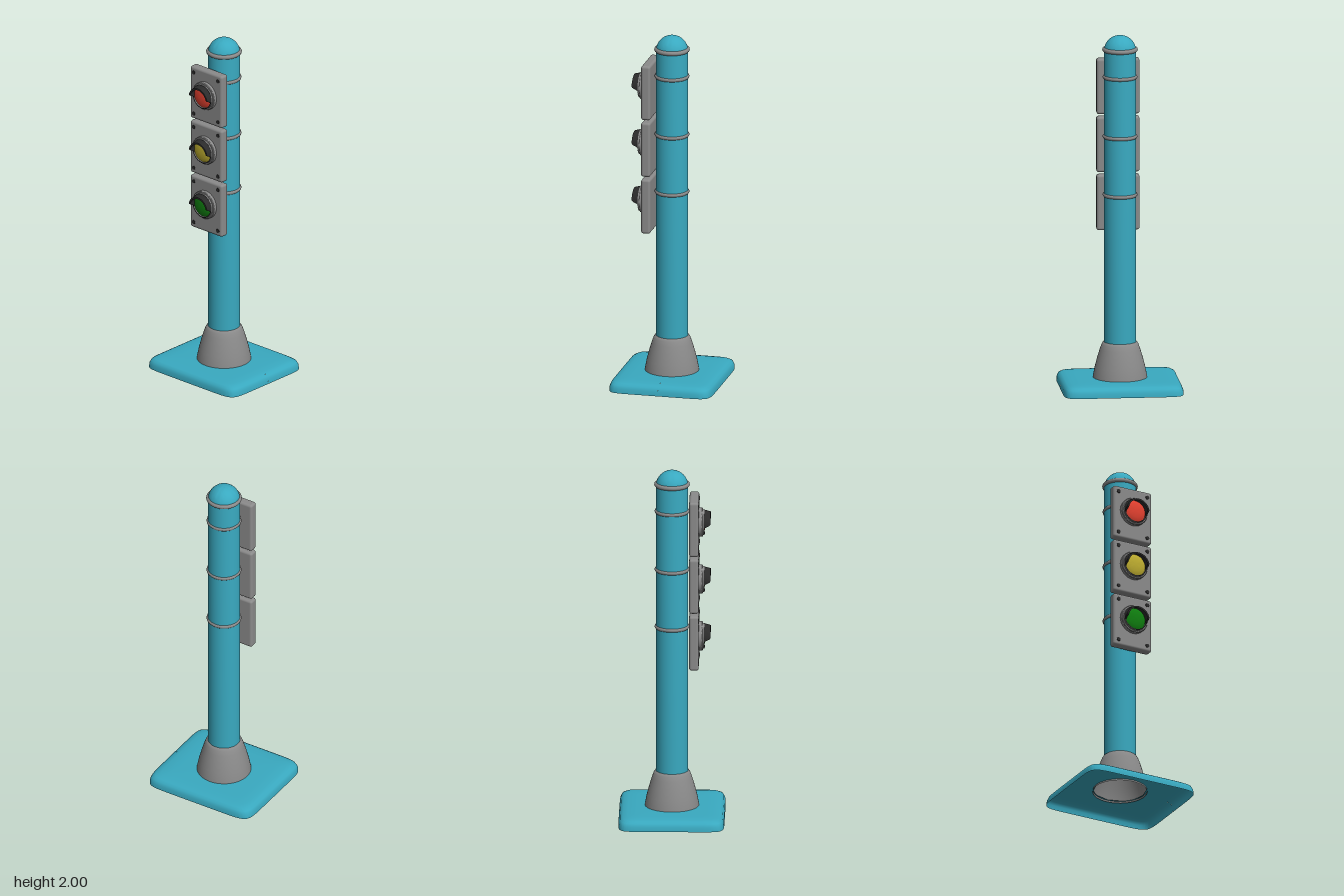
import * as THREE from 'three';
import { mergeVertices, toCreasedNormals } from 'three/addons/utils/BufferGeometryUtils.js';
import { RoundedBoxGeometry } from 'three/addons/geometries/RoundedBoxGeometry.js';

const mat = (name, color, side = THREE.FrontSide) => {
  const m = new THREE.MeshStandardMaterial({ color, side });
  m.name = name;
  return m;
};

// Surface through rows of points; faces look along (row step) x (column step)
function loft(rows, crease) {
  const n = rows[0].length, index = [];
  for (let r = 0; r < rows.length - 1; r++) {
    for (let c = 0; c < n - 1; c++) {
      const a = r * n + c, b = a + n;
      index.push(a, b, b + 1, a, b + 1, a + 1);
    }
  }
  const g = new THREE.BufferGeometry();
  g.setAttribute('position', new THREE.Float32BufferAttribute(rows.flat(2), 3));
  g.setIndex(index);
  return toCreasedNormals(mergeVertices(g), crease);
}

const lathe = (pts, segments = 48) => toCreasedNormals(
  new THREE.LatheGeometry(pts.map(([r, y]) => new THREE.Vector2(r, y)), segments), 0.6);

// Lathe whose axis points forward
const frontLathe = (pts) => lathe(pts).rotateX(Math.PI / 2);

// Hollow base plate: rounded rectangles rising to a round hole
function baseGeometry() {
  const count = 96, rows = [];
  const power = (v) => Math.sign(v) * Math.abs(v) ** 0.2;
  const levels = [[0, 0], [0.002, 0.025], [0.01, 0.043], [0.025, 0.052], [0.05, 0.057], [0.1, 0.06]];
  const outline = (inset) => Array.from({ length: count + 1 }, (_, i) => {
    const t = (i / count) * Math.PI * 2;
    return [(0.335 - inset) * power(Math.cos(t)), (0.295 - inset) * power(Math.sin(t))];
  });
  for (const [inset, y] of levels) rows.push(outline(inset).map(([x, z]) => [x, y, z]));
  rows.push(outline(0).map(([x, z]) => {
    const k = 0.145 / Math.hypot(x, z);
    return [x * k, 0.06, z * k];
  }));
  return loft(rows, 0.9);
}

// Half-round hood, drooping forward, cut back towards its ends
function visorGeometry() {
  const rows = [], steps = 40;
  for (let i = 0; i <= steps; i++) {
    const a = THREE.MathUtils.degToRad(-18 + (216 * i) / steps);
    const c = Math.cos(a), s = Math.sin(a);
    const reach = 0.004 + 0.035 * THREE.MathUtils.smoothstep(s, -0.3, 0.25);
    const drop = -0.25 * reach;
    const ring = [[0.071, 0, 0], [0.07, reach, drop], [0.06, reach, drop], [0.062, 0, 0], [0.071, 0, 0]];
    rows.push(ring.map(([r, z, dy]) => [r * c, r * s + dy, 0.176 + z]));
  }
  const middle = (row) => row.map(() => [0, 1, 2].map((k) => (row[0][k] + row[2][k]) / 2));
  return loft([middle(rows[0]), ...rows, middle(rows[steps])], 0.6);
}

export function createModel() {
  const teal = mat('teal paint', 0x39a9c0, THREE.DoubleSide);
  const grey = mat('grey metal', 0x8a8a8a, THREE.DoubleSide);
  const black = mat('black rubber', 0x2b2b2b, THREE.DoubleSide);
  const lenses = [mat('red lens', 0xf04533), mat('yellow lens', 0xbfae30), mat('green lens', 0x108010)];

  const model = new THREE.Group();
  model.name = 'trafficLight';
  const add = (parent, name, geometry, material, x = 0, y = 0, z = 0) => {
    const mesh = new THREE.Mesh(geometry, material);
    mesh.name = name;
    mesh.position.set(x, y, z);
    parent.add(mesh);
    return mesh;
  };

  // Base, flared foot and domed pole
  add(model, 'basePlate', baseGeometry(), teal);
  add(model, 'poleFoot', lathe([[0.152, 0.05], [0.149, 0.075], [0.14, 0.12], [0.127, 0.17],
    [0.112, 0.22], [0.102, 0.247], [0.095, 0.258], [0.088, 0.262]]), grey);
  const pole = [[0.09, 0.25], [0.09, 1.91]];
  for (let i = 1; i <= 12; i++) {
    const a = (i / 12) * Math.PI / 2;
    pole.push([0.09 * Math.cos(a), 1.91 + 0.09 * Math.sin(a)]);
  }
  add(model, 'pole', lathe(pole), teal);

  // Cap ring and clamp bands
  const band = (name, y, tube) =>
    add(model, name, new THREE.TorusGeometry(0.086, tube, 12, 48).rotateX(Math.PI / 2), grey, 0, y);
  band('capRing', 1.92, 0.013);
  for (const y of [1.765, 1.427, 1.095]) band('clampBand', y, 0.011);

  // Three signal units
  const housing = new RoundedBoxGeometry(0.24, 0.315, 0.053, 4, 0.014);
  const bezel = frontLathe([[0.081, 0.148], [0.081, 0.168], [0.078, 0.172], [0.072, 0.173],
    [0.071, 0.18], [0.066, 0.181], [0.064, 0.17]]);
  const gasket = frontLathe([[0.0705, 0.1815], [0.065, 0.1825]]);
  const lens = frontLathe([[0.066, 0.165], [0.065, 0.174], [0.055, 0.179], [0.04, 0.183],
    [0.02, 0.1855], [0, 0.186]]);
  const visor = visorGeometry();
  const screw = new THREE.CylinderGeometry(0.011, 0.012, 0.008, 16).rotateX(Math.PI / 2);

  lenses.forEach((color, i) => {
    const unit = new THREE.Group();
    unit.name = ['redSignal', 'yellowSignal', 'greenSignal'][i];
    unit.position.y = 1.688 - 0.33 * i;
    model.add(unit);
    add(unit, 'housing', housing, grey, 0, 0, 0.1235);
    add(unit, 'bezel', bezel, grey, 0, 0.012);
    add(unit, 'gasket', gasket, black, 0, 0.012);
    add(unit, 'lens', lens, color, 0, 0.012);
    add(unit, 'visor', visor, black, 0, 0.012);
    for (const sx of [-1, 1]) {
      for (const sy of [-1, 1]) add(unit, 'screw', screw, black, sx * 0.091, sy * 0.124, 0.149);
    }
  });
  return model;
}
